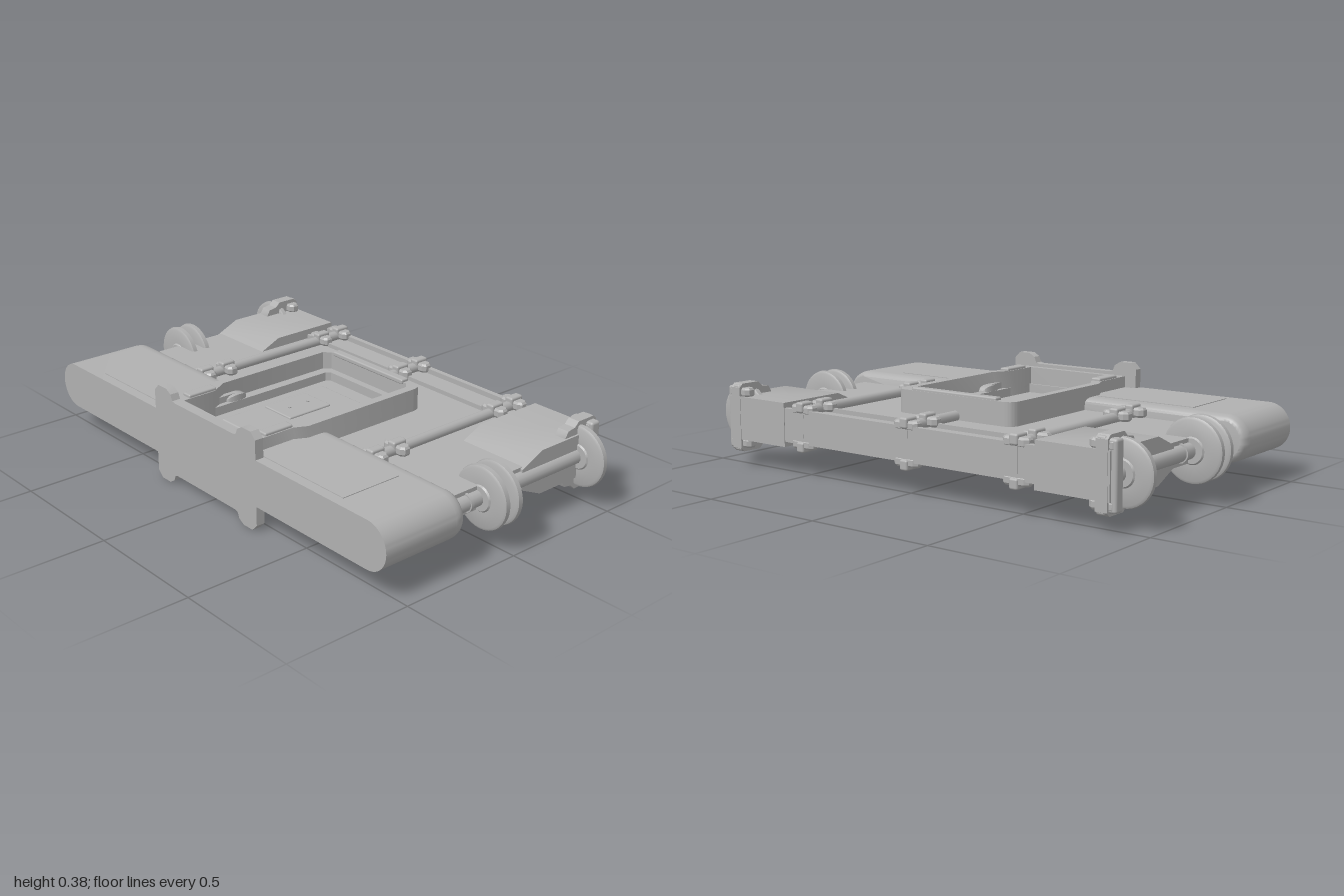
import * as THREE from 'three';
import { toCreasedNormals } from 'three/addons/utils/BufferGeometryUtils.js';
import { RoundedBoxGeometry } from 'three/addons/geometries/RoundedBoxGeometry.js';

const MID = 0.19; // the model is mirrored above and below this height

export function createModel() {
  const model = new THREE.Group();
  model.name = 'chassis';
  const grey = new THREE.MeshStandardMaterial({ color: 0xb0b0b0 });
  grey.name = 'plain grey';

  const add = (name, geo, x = 0, y = 0, z = 0, parent = model) => {
    const mesh = new THREE.Mesh(geo, grey);
    mesh.name = name;
    mesh.position.set(x, y, z);
    parent.add(mesh);
    return mesh;
  };
  // box given by its limits
  const box = (name, x0, x1, y0, y1, z0, z1) =>
    add(name, new THREE.BoxGeometry(x1 - x0, y1 - y0, z1 - z0), (x0 + x1) / 2, (y0 + y1) / 2, (z0 + z1) / 2);
  const extrude = (shape, depth, opts = {}) =>
    toCreasedNormals(new THREE.ExtrudeGeometry(shape, { depth, bevelEnabled: false, curveSegments: 14, ...opts }), 0.6);
  const poly = (pts) => new THREE.Shape(pts.map((p) => new THREE.Vector2(...p)));
  // profile of [-z, height above MID], mirrored downward, swept along x
  const sideSweep = (half, x0, x1) => {
    const pts = [...half, ...half.slice().reverse().map(([a, b]) => [a, -b])];
    return extrude(poly(pts), x1 - x0).rotateY(Math.PI / 2).translate(x0, MID, 0);
  };
  const rod = (name, r, a, b) => {
    const va = new THREE.Vector3(...a), vb = new THREE.Vector3(...b);
    const m = add(name, new THREE.CylinderGeometry(r, r, va.distanceTo(vb), 14));
    m.position.copy(va).lerp(vb, 0.5);
    m.quaternion.setFromUnitVectors(new THREE.Vector3(0, 1, 0), vb.sub(va).normalize());
    return m;
  };

  // thin deck and rear beam
  box('deckRear', -0.87, 0.87, 0.145, 0.235, -0.54, -0.24);
  for (const s of [-1, 1]) {
    const [a, b] = s > 0 ? [0.24, 0.87] : [-0.87, -0.24];
    box('deckSide', a, b, 0.145, 0.235, -0.24, 0.23);
  }
  box('rearBeam', -0.82, 0.82, 0.125, 0.255, -0.552, -0.53);

  // wide front bumper, rounded at the ends and bevelled at the back
  const capsule = (inset) => {
    const s = new THREE.Shape(), r = 0.09 - inset;
    s.moveTo(0.22, -r);
    s.lineTo(0.87, -r);
    s.absarc(0.87, 0, r, -Math.PI / 2, Math.PI / 2, false);
    s.lineTo(0.22, r);
    s.closePath();
    return s;
  };
  for (const turn of [0, Math.PI]) {
    const half = new THREE.Group();
    half.name = 'bumperHalf';
    half.rotation.z = turn;
    half.position.y = MID;
    model.add(half);
    add('bumperShell', extrude(capsule(0), 0.315), 0, 0, 0.245, half);
    add('bumperBackBevel', extrude(capsule(0.02), 0.002, {
      bevelEnabled: true, bevelThickness: 0.045, bevelSize: 0.02, bevelSegments: 4,
    }), 0, 0, 0.245, half);
    // shallow panels on the bumper
    for (const v of [-1, 1]) {
      add('bumperPanel', new THREE.BoxGeometry(0.42, 0.004, 0.25), 0.5, v * 0.0905, 0.395, half);
    }
  }

  // central tub: outer wall with a stepped opening
  const tubOuter = new THREE.Shape();
  tubOuter.moveTo(-0.25, -0.54);
  tubOuter.lineTo(0.25, -0.54);
  tubOuter.lineTo(0.25, -0.35);
  tubOuter.lineTo(0.275, -0.3);
  tubOuter.lineTo(0.275, 0.215);
  tubOuter.quadraticCurveTo(0.275, 0.265, 0.225, 0.265);
  tubOuter.lineTo(-0.225, 0.265);
  tubOuter.quadraticCurveTo(-0.275, 0.265, -0.275, 0.215);
  tubOuter.lineTo(-0.275, -0.3);
  tubOuter.lineTo(-0.25, -0.35);
  tubOuter.closePath();
  const ring = (outer, hole, h) => {
    const s = outer.clone();
    s.holes = [new THREE.Path(hole.map((p) => new THREE.Vector2(...p)))];
    return extrude(s, h).rotateX(-Math.PI / 2);
  };
  const opening = [[-0.2, -0.5], [-0.2, -0.36], [-0.24, -0.29], [-0.24, 0.21], [-0.215, 0.235],
    [0.215, 0.235], [0.24, 0.21], [0.24, -0.29], [0.2, -0.36], [0.2, -0.5]];
  add('tubWall', ring(tubOuter, opening, 0.27), 0, MID - 0.135, 0);
  const ledge = [[-0.2, -0.49], [-0.2, 0.19], [-0.185, 0.205], [0.185, 0.205], [0.2, 0.19], [0.2, -0.49]];
  add('tubLedge', ring(tubOuter, ledge, 0.13), 0, MID - 0.065, 0);
  box('tubFloor', -0.21, 0.21, MID - 0.03, MID + 0.03, -0.22, 0.51);
  for (const v of [-1, 1]) {
    add('floorPanel', new RoundedBoxGeometry(0.3, 0.016, 0.5, 3, 0.007), 0, MID + v * 0.033, 0.12);
    add('floorHatch', new RoundedBoxGeometry(0.15, 0.012, 0.2, 3, 0.005), -0.05, MID + v * 0.042, 0.08);
    for (const z of [0.03, 0.12]) {
      add('hatchStud', new THREE.CylinderGeometry(0.006, 0.006, 0.006, 8), -0.05, MID + v * 0.049, z);
    }
    add('tubRearRim', new RoundedBoxGeometry(0.4, 0.02, 0.035, 2, 0.006), 0, MID + v * 0.136, -0.245);
    for (const x of [-0.225, 0.225]) {
      add('tubSidePad', new RoundedBoxGeometry(0.042, 0.02, 0.125, 2, 0.006), x, MID + v * 0.136, 0.41);
    }
  }

  // front plate with four rounded ears
  const face = new THREE.Shape();
  const quarter = [[0.3, 0], [0.3, 0.075], [0.275, 0.098], [0.3, 0.125], [0.3, 0.165], [0.275, 0.19],
    [0.225, 0.19], [0.2, 0.175], [0.19, 0.152], [0.175, 0.148]];
  const ear = (sx, sy) => quarter.map(([x, y]) => [sx * x, sy * y]);
  const outline = [...ear(1, 1), ...ear(-1, 1).reverse(), ...ear(-1, -1).slice(1), ...ear(1, -1).slice(1).reverse()]
    .map(([x, y]) => [Math.abs(x) === 0.275 && Math.abs(y) === 0.098 ? Math.sign(x) * 0.3 : x, y]);
  face.setFromPoints(outline.map((p) => new THREE.Vector2(...p)));
  add('frontPlate', extrude(face, 0.035), 0, MID, 0.525);

  // clamp: faceted cross block gripping a rod
  const clampShape = poly([[-0.055, -0.012], [-0.04, -0.024], [0.04, -0.024], [0.055, -0.012],
    [0.055, 0.012], [0.04, 0.024], [-0.04, 0.024], [-0.055, 0.012]]);
  const clampGeo = new THREE.ExtrudeGeometry(clampShape, {
    depth: 0.02, bevelEnabled: true, bevelThickness: 0.008, bevelSize: 0.006, bevelOffset: -0.006, bevelSegments: 1,
  }).rotateX(-Math.PI / 2).translate(0, -0.01, 0);
  const clamp = (x, z, h = 0.066) => {
    const g = new THREE.Group();
    g.name = 'clamp';
    g.position.set(x, MID, z);
    model.add(g);
    for (const v of [-1, 1]) {
      add('clampBlock', clampGeo, 0, v * h, 0, g);
      add('clampCap', new RoundedBoxGeometry(0.036, 0.04, 0.062, 2, 0.008), 0, v * (h + 0.01), 0, g);
    }
    add('clampPost', new THREE.BoxGeometry(0.03, 2 * h, 0.045), 0, 0, 0, g);
  };
  for (const x of [-0.5, 0.5]) for (const z of [-0.53, -0.425, 0.08, 0.185]) clamp(x, z);
  for (const z of [-0.53, -0.425]) clamp(-0.015, z);

  // rods lying on both faces of the deck
  for (const v of [-1, 1]) {
    const y = MID + v * 0.06;
    for (const x of [-0.5, 0.5]) rod('deckRod', 0.02, [x, y, -0.54], [x, y, 0.21]);
    rod('centreRod', 0.02, [-0.015, y, -0.54], [-0.015, y, -0.25]);
    box('crossStrip', -0.59, 0.59, y - 0.018, y + 0.002, -0.432, -0.418);
  }

  // rear corners, mirrored left and right
  const wheelPts = [[0, -0.02], [0.045, -0.02], [0.05, -0.014], [0.108, -0.014], [0.117, -0.009], [0.12, 0],
    [0.117, 0.009], [0.108, 0.014], [0.05, 0.014], [0.045, 0.02], [0, 0.02]].map((p) => new THREE.Vector2(...p));
  const wheelGeo = toCreasedNormals(new THREE.LatheGeometry(wheelPts, 36).rotateX(Math.PI / 2), 0.7);
  const pad = [[0.16, 0.04], [0.26, 0.085], [0.555, 0.085]];
  const strap = [[0.39, 0.085], [0.405, 0.11], [0.44, 0.115], [0.46, 0.134], [0.54, 0.134], [0.557, 0.12]];
  for (const s of [-1, 1]) {
    const span = (a, b) => (s > 0 ? [a, b] : [-b, -a]);
    add('cornerPad', sideSweep(pad, ...span(0.585, 0.88)));
    add('cornerStrap', sideSweep(strap, ...span(0.825, 0.872)));
    clamp(s * 0.845, -0.525, 0.1);
    add('strapBar', new RoundedBoxGeometry(0.04, 0.245, 0.045, 2, 0.01), s * 0.88, MID, -0.525);
    // side axle with its discs and collars
    rod('axle', 0.03, [s * 0.87, MID, -0.51], [s * 0.87, MID, 0.21]);
    for (const z of [0.037, -0.025, -0.47]) add('disc', wheelGeo, s * 0.88, MID, z);
    for (const z of [-0.1, 0.11]) rod('axleCollar', 0.035, [s * 0.87, MID, z - 0.006], [s * 0.87, MID, z + 0.006]);
  }
  return model;
}
